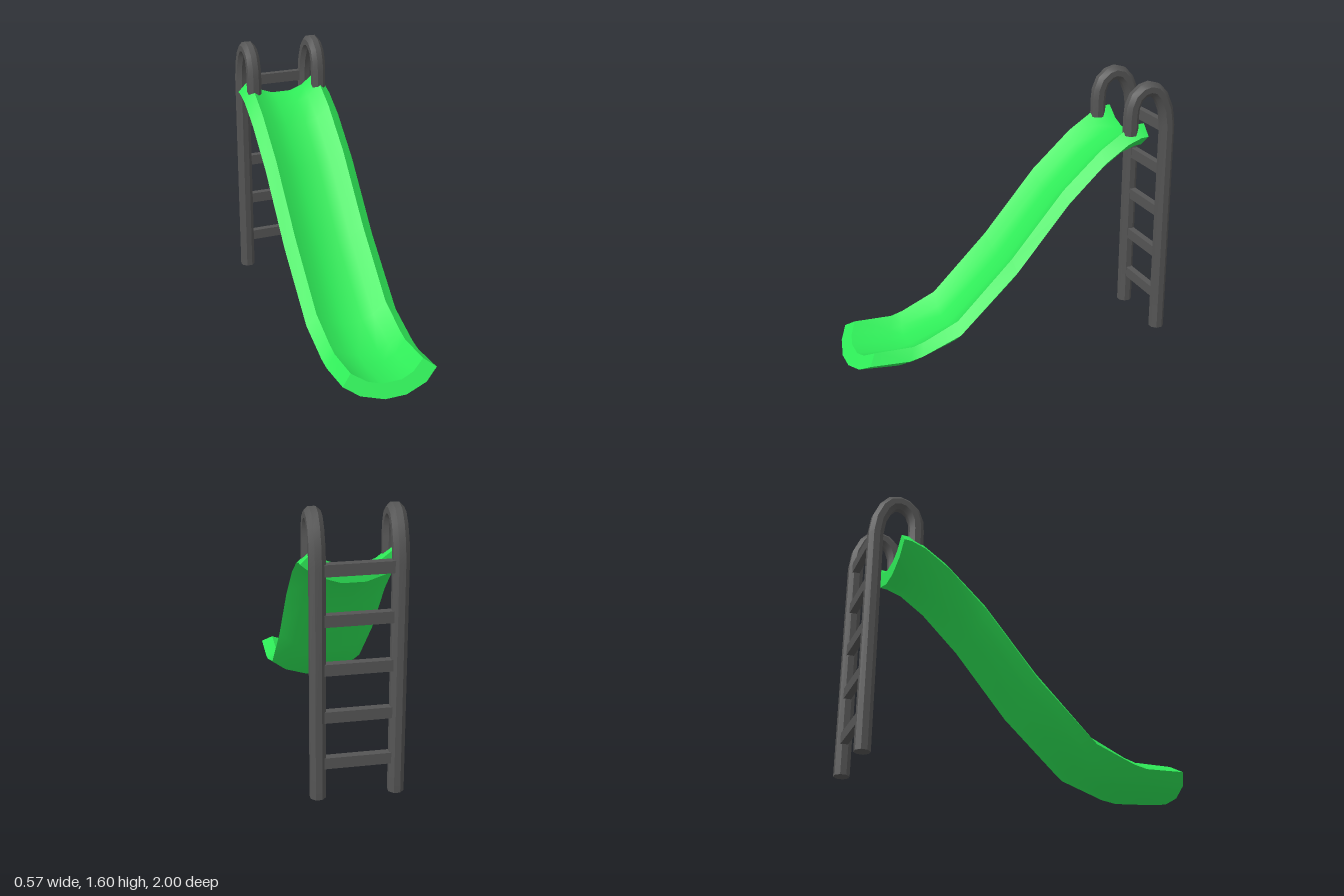
import * as THREE from 'three';
import { toCreasedNormals } from 'three/addons/utils/BufferGeometryUtils.js';

// Skin a list of closed rings (each an array of [x, y, z]) and cap both ends.
function loft(rings) {
  const n = rings[0].length;
  const index = [];
  const quad = (a, b, c, d) => index.push(a, b, c, a, c, d);
  for (let i = 0; i < rings.length - 1; i++) {
    for (let j = 0; j < n; j++) {
      const k = (j + 1) % n;
      quad(i * n + j, i * n + k, (i + 1) * n + k, (i + 1) * n + j);
    }
  }
  const last = (rings.length - 1) * n;
  for (let j = 0; j < n / 2 - 1; j++) {
    quad(j, n - 1 - j, n - 2 - j, j + 1);
    quad(last + j, last + j + 1, last + n - 2 - j, last + n - 1 - j);
  }
  const geometry = new THREE.BufferGeometry();
  geometry.setAttribute('position', new THREE.Float32BufferAttribute(rings.flat(2), 3));
  geometry.setIndex(index);
  return toCreasedNormals(geometry, 0.7);
}

// Chute: [z, y] of the rim crest and of the underside at each station
function chuteGeometry() {
  const stations = [
    [0.88, 0.16, 1.0, 0.03],
    [0.65, 0.155, 0.76, 0.003],
    [0.58, 0.175, 0.66, 0.013],
    [0.37, 0.27, 0.385, 0.095],
    [0.03, 0.61, 0.0, 0.435],
    [-0.29, 0.99, -0.32, 0.82],
    [-0.53, 1.21, -0.53, 1.03],
    [-0.68, 1.31, -0.67, 1.13],
    [-0.76, 1.343, -0.76, 1.16],
    [-0.805, 1.345, -0.805, 1.165],
  ];
  // Half section: x and depth fraction from crest (0) to underside (1)
  const inner = [[0.06, 0.51], [0.14, 0.35], [0.22, 0]];
  const outer = [[0.285, 0.36], [0.2, 0.75], [0.065, 1]];
  const flip = (pts) => pts.map(([x, t]) => [-x, t]).reverse();
  const section = [...flip(inner), ...inner, ...outer, ...flip(outer)];
  return loft(stations.map(([z0, y0, z1, y1]) =>
    section.map(([x, t]) => [x, y0 + (y1 - y0) * t, z0 + (z1 - z0) * t])));
}

// Eight-sided rail: upright post that hooks over onto the chute
function railGeometry() {
  const path = [
    [0, -0.957], [1.32, -0.957], [1.42, -0.942], [1.5, -0.907], [1.542, -0.868],
    [1.553, -0.825], [1.542, -0.785], [1.508, -0.745], [1.45, -0.722],
    [1.39, -0.717], [1.285, -0.717],
  ];
  const radius = 0.046;
  return loft(path.map(([y, z], i) => {
    const a = path[i === 0 || i === 1 ? 0 : i - 1];
    const b = path[i === 1 ? 1 : Math.min(i + 1, path.length - 1)];
    const length = Math.hypot(b[0] - a[0], b[1] - a[1]);
    const ty = (b[0] - a[0]) / length;
    const tz = (b[1] - a[1]) / length;
    return Array.from({ length: 8 }, (_, j) => {
      const angle = (j + 0.5) * Math.PI / 4;
      const v = Math.sin(angle) * radius;
      return [Math.cos(angle) * radius, y + v * tz, z - v * ty];
    });
  }));
}

export function createModel() {
  const model = new THREE.Group();
  model.name = 'playgroundSlide';
  const green = new THREE.MeshStandardMaterial({ color: 0x2eea57 });
  const grey = new THREE.MeshStandardMaterial({ color: 0x555555 });

  const add = (name, geometry, material, parent = model) => {
    const mesh = new THREE.Mesh(geometry, material);
    mesh.name = name;
    parent.add(mesh);
    return mesh;
  };

  add('chute', chuteGeometry(), green);

  // Ladder: two rails and five rungs
  const ladder = new THREE.Group();
  ladder.name = 'ladder';
  model.add(ladder);
  const rail = railGeometry();
  add('leftRail', rail, grey, ladder).position.x = 0.222;
  add('rightRail', rail, grey, ladder).position.x = -0.208;

  const rung = new THREE.BoxGeometry(0.41, 0.065, 0.042);
  for (let i = 0; i < 5; i++) {
    add(`rung${i + 1}`, rung, grey, ladder).position.set(0.007, 0.21 + i * 0.273, -0.963);
  }
  return model;
}
